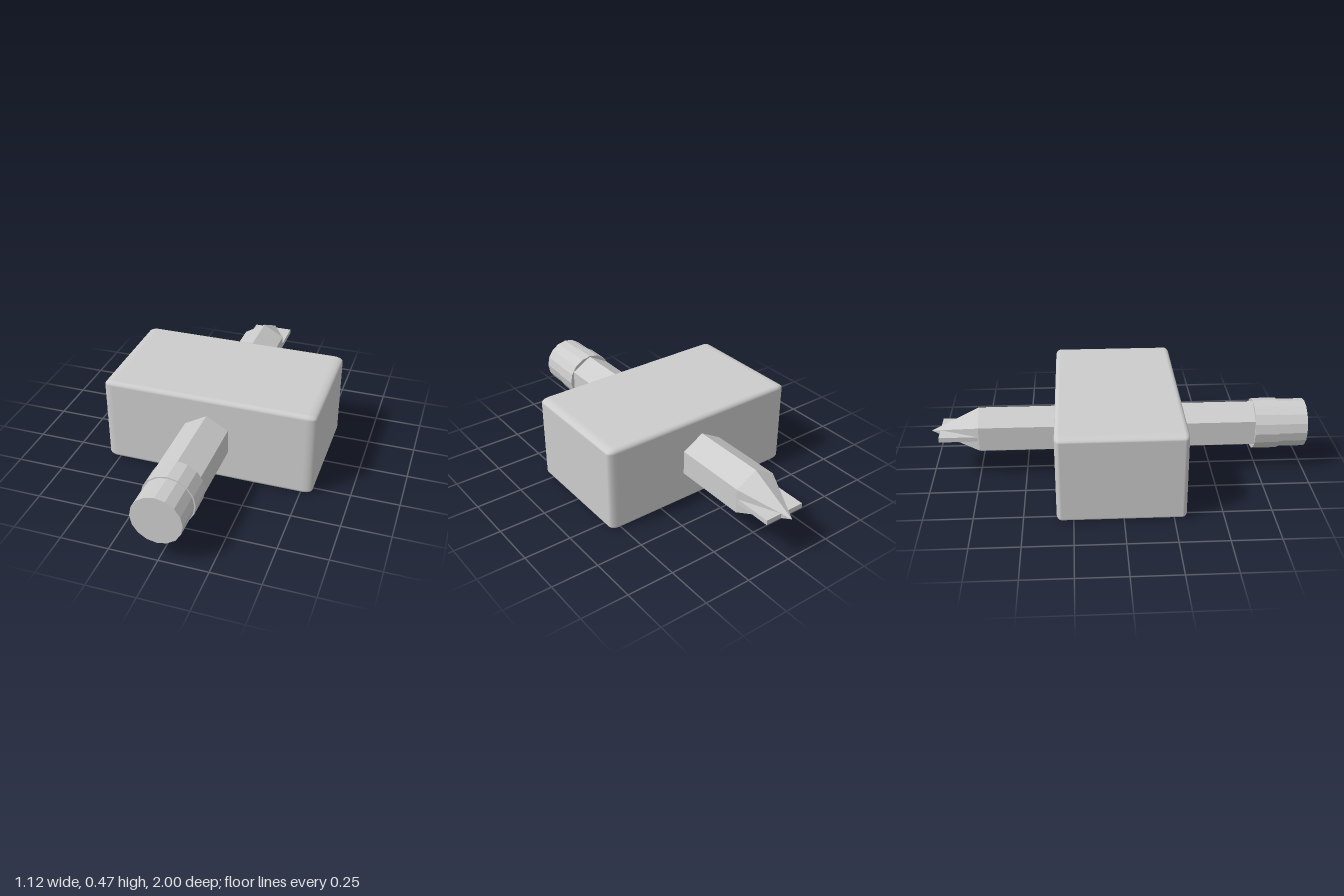
import * as THREE from 'three';
import { RoundedBoxGeometry } from 'three/addons/geometries/RoundedBoxGeometry.js';

export function createModel() {
  const group = new THREE.Group();
  const axisY = 0.236;
  const steel = new THREE.MeshStandardMaterial({ color: 0xcccccc });
  steel.name = 'light grey';
  steel.flatShading = true;
  const smoothSteel = new THREE.MeshStandardMaterial({ color: 0xcccccc });
  smoothSteel.name = 'light grey smooth';

  function add(name, geometry, material, y, z) {
    const mesh = new THREE.Mesh(geometry, material);
    mesh.name = name;
    mesh.position.set(0, y, z);
    group.add(mesh);
  }

  // Prism along z, with corners at the top and bottom
  function prism(name, rFront, rBack, zFront, zBack, sides) {
    const geometry = new THREE.CylinderGeometry(rFront, rBack, zFront - zBack, sides);
    geometry.rotateX(Math.PI / 2);
    add(name, geometry, steel, axisY, (zFront + zBack) / 2);
  }

  // Block with softly rounded edges, wider rounding along x
  const rx = 0.05, ry = 0.022, rz = 0.026;
  const block = new RoundedBoxGeometry(1.12 / rx, 0.466 / ry, 0.65 / rz, 3, 1);
  block.scale(rx, ry, rz);
  add('block', block, smoothSteel, 0.233, -0.01);

  // Hexagonal shaft and its pointed tip
  prism('shaft', 0.132, 0.132, 0.74, -0.74, 6);
  prism('tip', 0.132, 0, -0.74, -1, 6);

  // Flat blade crossing the tip
  add('blade', new THREE.BoxGeometry(0.222, 0.026, 0.25), steel, axisY, -0.825);

  // Collar and end cap
  prism('collar', 0.136, 0.136, 0.85, 0.72, 16);
  prism('endCap', 0.129, 0.129, 1, 0.84, 16);

  return group;
}
